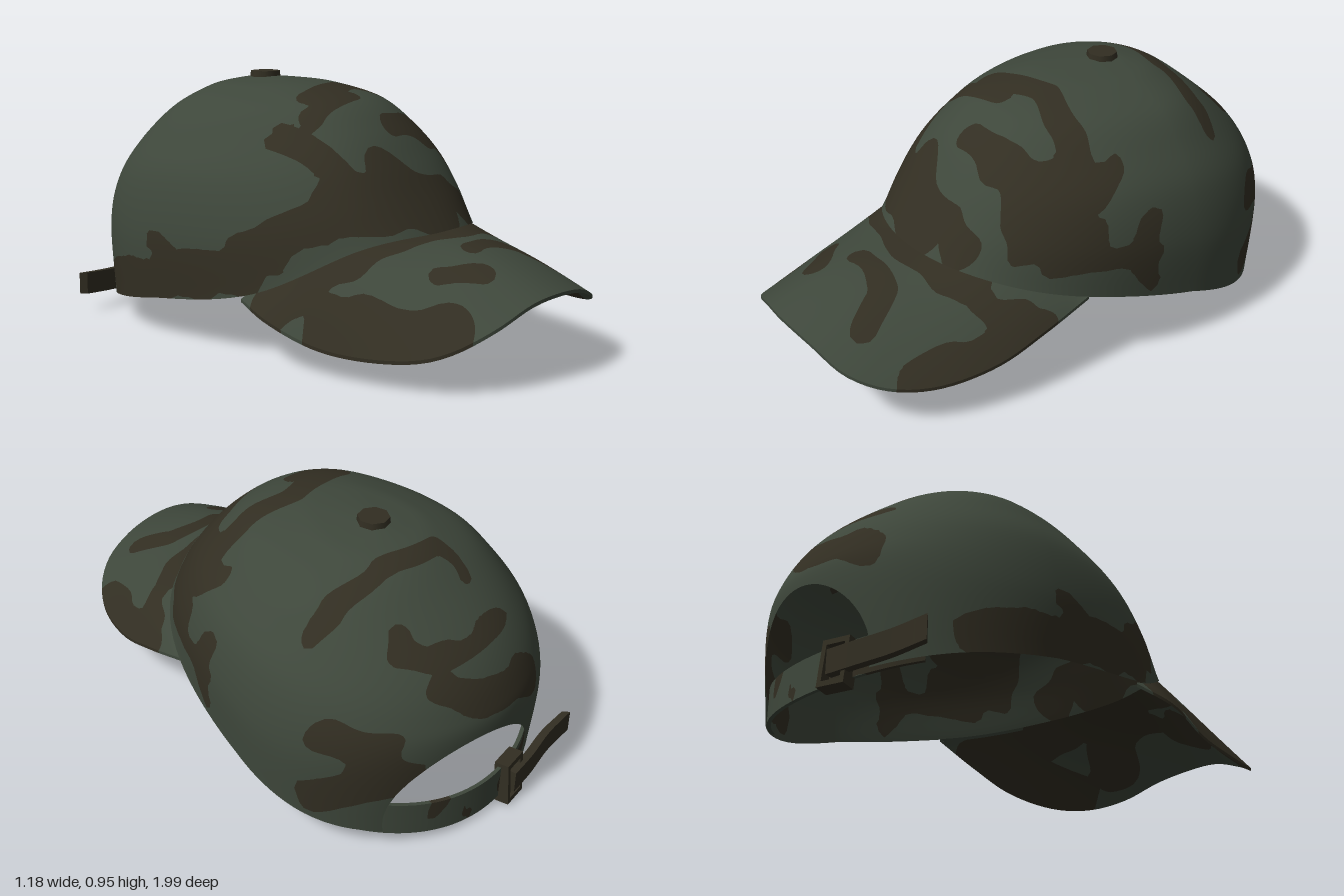
import * as THREE from 'three';
import { mergeGeometries, mergeVertices } from 'three/addons/utils/BufferGeometryUtils.js';

const mat = (name, color) => new THREE.MeshStandardMaterial({ name, color, side: THREE.DoubleSide });
const V = (x, y, z) => new THREE.Vector3(x, y, z);
const spline2 = (a) => new THREE.SplineCurve(a.map(([x, y]) => new THREE.Vector2(x, y)));

// Smooth surface over a grid of u, v in 0..1
function grid(nu, nv, fn) {
  const pos = [], idx = [], w = nv + 1;
  for (let i = 0; i <= nu; i++) for (let j = 0; j <= nv; j++) pos.push(...fn(i / nu, j / nv).toArray());
  for (let i = 0; i < nu; i++) for (let j = 0; j < nv; j++) {
    const a = i * w + j;
    idx.push(a, a + 1, a + w, a + 1, a + w + 1, a + w);
  }
  let g = new THREE.BufferGeometry();
  g.setAttribute('position', new THREE.Float32BufferAttribute(pos, 3));
  g.setIndex(idx);
  g = mergeVertices(g, 1e-5);
  g.computeVertexNormals();
  return g;
}

// Keeps the part of a polygon where f is positive
function clip(poly, f) {
  const out = [];
  poly.forEach((a, i) => {
    const b = poly[(i + 1) % poly.length], fa = f(a.p), fb = f(b.p);
    if (fa > 0) out.push(a);
    if ((fa > 0) !== (fb > 0)) {
      const k = fa / (fa - fb);
      out.push({ p: a.p.clone().lerp(b.p, k), n: a.n.clone().lerp(b.n, k).normalize() });
    }
  });
  return out;
}

// Splits a surface along the patch outlines into two material groups
function paint(name, geo, field, mats, keep) {
  const P = geo.attributes.position, N = geo.attributes.normal, ix = geo.index.array;
  const lists = [[], []];
  for (let i = 0; i < ix.length; i += 3) {
    let tri = [0, 1, 2].map((k) => ({
      p: new THREE.Vector3().fromBufferAttribute(P, ix[i + k]),
      n: new THREE.Vector3().fromBufferAttribute(N, ix[i + k]),
    }));
    if (keep) tri = clip(tri, keep);
    [field, (p) => -field(p)].forEach((f, m) => {
      const q = clip(tri, f);
      for (let k = 1; k + 1 < q.length; k++) lists[m].push(q[0], q[k], q[k + 1]);
    });
  }
  const all = [...lists[0], ...lists[1]], g = new THREE.BufferGeometry();
  g.setAttribute('position', new THREE.Float32BufferAttribute(all.flatMap((v) => v.p.toArray()), 3));
  g.setAttribute('normal', new THREE.Float32BufferAttribute(all.flatMap((v) => v.n.toArray()), 3));
  g.addGroup(0, lists[0].length, 0);
  g.addGroup(lists[0].length, lists[1].length, 1);
  const mesh = new THREE.Mesh(g, mats);
  mesh.name = name;
  return mesh;
}

// Charts in which patch strokes are laid out: [where it applies, to 2D]
const charts = {
  front: [(p) => p.z > 0, (p) => [p.x, p.y]],
  back: [(p) => p.z < -0.5, (p) => [p.x, p.y]],
  left: [(p) => p.x > 0.2, (p) => [p.z, p.y]],
  right: [(p) => p.x < -0.2, (p) => [p.z, p.y]],
  top: [(p) => p.y > 0.66, (p) => [p.x, p.z]],
  plan: [() => true, (p) => [p.x, p.z]],
};
// Positive inside any stroke: [chart, radius, x1, y1, x2, y2, ...]
const camo = (strokes, bias = 0) => (p) => {
  let best = -1;
  for (const [c, r, ...s] of strokes) {
    if (!charts[c][0](p)) continue;
    const [x, y] = charts[c][1](p);
    for (let i = 0; i + 3 < s.length; i += 2) {
      const dx = s[i + 2] - s[i], dy = s[i + 3] - s[i + 1];
      const k = THREE.MathUtils.clamp(((x - s[i]) * dx + (y - s[i + 1]) * dy) / (dx * dx + dy * dy), 0, 1);
      best = Math.max(best, r - Math.hypot(x - s[i] - k * dx, y - s[i + 1] - k * dy));
    }
  }
  return best + bias + 0.012 * Math.sin(23 * p.x + 9 * p.y) * Math.cos(19 * p.z + 14 * p.y)
    + 0.008 * Math.sin(41 * p.y - 17 * p.x + 29 * p.z);
};

const frontPatches = [
  ['front', 0.055, -0.38, 0.8, -0.3, 0.7, -0.27, 0.62],
  ['front', 0.1, -0.28, 0.54, -0.1, 0.55, 0.08, 0.5],
  ['front', 0.06, -0.12, 0.65, 0, 0.58, 0.15, 0.54, 0.25, 0.47],
  ['front', 0.05, -0.3, 0.54, -0.4, 0.48, -0.5, 0.4, -0.54, 0.3],
  ['front', 0.04, -0.5, 0.65, -0.46, 0.72, -0.38, 0.79],
  ['front', 0.045, 0.04, 0.78, 0.15, 0.77, 0.28, 0.72, 0.36, 0.62, 0.42, 0.5],
  ['front', 0.055, 0.36, 0.72, 0.44, 0.57, 0.49, 0.45],
];
const sidePatches = [
  ['left', 0.06, 0.2, 0.68, 0.1, 0.54],
  ['left', 0.03, 0.12, 0.6, 0, 0.64, -0.12, 0.73],
  ['left', 0.045, 0.14, 0.54, 0.02, 0.55, 0, 0.45, -0.18, 0.42],
  ['left', 0.045, -0.18, 0.55, -0.15, 0.45, -0.18, 0.32],
  ['left', 0.03, -0.56, 0.82, -0.57, 0.72],
  ['left', 0.07, -0.74, 0.46, -0.85, 0.42, -0.88, 0.3, -0.7, 0.2],
  ['right', 0.085, 0.05, 0.3, -0.2, 0.27, -0.45, 0.2, -0.65, 0.17],
  ['right', 0.05, -0.25, 0.3, -0.35, 0.36],
];
const backPatches = [
  ['back', 0.06, 0.12, 0.6, 0, 0.52, -0.18, 0.53, -0.26, 0.46],
  ['top', 0.05, -0.2, -0.83, 0, -0.88, 0.15, -0.85, 0.2, -0.78],
  ['top', 0.035, -0.15, -0.66, -0.12, -0.57, 0.1, -0.58, 0.37, -0.56],
  ['top', 0.055, -0.14, 0.01, 0.1, -0.04, 0.38, 0],
  ['top', 0.035, -0.22, 0.1, 0, 0.07],
];
const brimPatches = [
  ['plan', 0.09, -0.5, 0.2, -0.33, 0.36, -0.1, 0.46, 0.15, 0.48, 0.3, 0.42],
  ['plan', 0.045, 0.3, 0.44, 0.44, 0.4, 0.52, 0.25],
  ['plan', 0.085, -0.5, 0.42, -0.45, 0.65, -0.36, 0.82],
  ['plan', 0.04, -0.22, 0.68, -0.13, 0.79],
  ['plan', 0.045, -0.02, 0.66, 0.18, 0.67, 0.26, 0.8],
  ['plan', 0.06, 0.54, 0.3, 0.52, 0.5, 0.46, 0.74],
];
const strapPatches = [
  ['back', 0.02, 0.14, 0.15, 0.17, 0.1], ['back', 0.02, 0.02, 0.04, 0.05, 0.07],
  ['back', 0.06, -0.4, 0.12, -0.27, 0.09, -0.18, 0.085], ['back', 0.03, 0.34, 0.1, 0.42, 0.14],
];

// Crown: meridian profiles (reach, drop) for front, side and back
const profiles = [
  [[0, 0], [0.2, 0.01], [0.375, 0.04], [0.58, 0.14], [0.716, 0.32], [0.82, 0.54], [0.91, 0.77], [1, 1]],
  [[0, 0], [0.2, 0.015], [0.36, 0.04], [0.6, 0.12], [0.77, 0.26], [0.92, 0.44], [0.995, 0.7], [0.99, 1]],
  [[0, 0], [0.15, 0.01], [0.35, 0.05], [0.56, 0.155], [0.82, 0.315], [0.96, 0.47], [1, 0.62], [0.94, 1]],
].map(spline2);
const rimHeight = spline2([0.05, 0.06, 0.1, 0.15, 0.225, 0.4, 0.43, 0.41, 0.315, 0.2, 0.1, 0.06, 0.05].map((y, i) => [i, y]));
function crownPoint(t, v) {
  const c = Math.cos(t), w = c * c;
  const q = profiles[c > 0 ? 0 : 2].getPoint(v).multiplyScalar(w).addScaledVector(profiles[1].getPoint(v), 1 - w);
  const rim = rimHeight.getPoint((t + Math.PI) / (2 * Math.PI)).y;
  // slightly squarer plan towards the rim
  const r = q.x * (1 + (c > 0 ? 0.05 : 0.025) * Math.sin(2 * t) ** 2 * v * v);
  return V(0.59 * r * Math.sin(t), 0.93 - (0.93 - rim) * q.y, -0.38 + (c > 0 ? 0.88 : 0.61) * r * c);
}

// Flat band with a rectangular section along at(s), standing upright around the crown axis
function band(n, at, height, thick) {
  const corners = [[1, -1], [1, 1], [-1, 1], [-1, -1]];
  const corner = (k, s) => {
    const p = at(s), outward = V(p.x, 0, p.z + 0.38).normalize();
    const [o, h] = corners[k % 4];
    p.addScaledVector(outward, o * thick / 2).y += h * height / 2;
    return p;
  };
  const sides = corners.map((_, k) => grid(n, 4, (s, v) => corner(k, s).lerp(corner(k + 1, s), v)));
  const caps = [0, 1].map((s) => grid(1, 1, (u, v) => corner(u ? 3 - v : v, s)));
  return mergeGeometries([...sides, ...caps]);
}

export function createModel() {
  const green = mat('camouflage green', 0x3e473b), brown = mat('camouflage brown', 0x322e22);
  const mats = [brown, green], cap = new THREE.Group();
  cap.name = 'cap';
  const solid = (name, geo) => {
    const m = new THREE.Mesh(geo, brown);
    m.name = name;
    cap.add(m);
    return m;
  };

  // Crown with the arched opening cut out of its back
  const arch = (p) => (p.z > -0.5 ? 1 : Math.hypot((p.x - 0.025) / 0.31, (p.y - 0.12) / 0.29) - 1);
  cap.add(paint('crown', grid(112, 48, (u, v) => crownPoint((u * 2 - 1) * Math.PI, v)),
    camo([...frontPatches, ...sidePatches, ...backPatches]), mats, arch));

  // Brim, ruled from just inside the crown's front rim to a curved outer edge
  const edge = new THREE.CatmullRomCurve3([
    [-0.53, 0.21, 0.05], [-0.56, 0.17, 0.2], [-0.53, 0.11, 0.4], [-0.49, 0.1, 0.6], [-0.43, 0.12, 0.78],
    [-0.37, 0.155, 0.87], [-0.26, 0.22, 0.95], [-0.12, 0.28, 0.985], [0, 0.295, 0.995], [0.18, 0.275, 0.97],
    [0.33, 0.22, 0.92], [0.43, 0.18, 0.82], [0.5, 0.165, 0.67], [0.54, 0.19, 0.45], [0.54, 0.25, 0.25], [0.53, 0.315, 0.06],
  ].map((p) => V(...p)));
  const brim = (u, v, drop = 0) => {
    const p = crownPoint((u * 2 - 1) * 1.06, 1).multiply(V(0.985, 1, 0.985)).lerp(edge.getPointAt(u), v);
    p.y += 0.024 * Math.sin(Math.PI * v) * Math.sin(Math.PI * u) - drop;
    return p;
  };
  const thick = 0.012;
  cap.add(paint('brimTop', grid(72, 24, (u, v) => brim(u, v)), camo(brimPatches), mats));
  cap.add(paint('brimUnderside', grid(72, 24, (u, v) => brim(1 - u, v, thick)), camo(brimPatches, 0.05), mats));
  cap.add(paint('brimEdge', grid(72, 1, (u, v) => brim(u, 1, thick * v)), camo(brimPatches), mats));

  // Adjustment strap across the opening
  const strap = (s) => {
    const t = (s * 2 - 1) * 0.8;
    return V(0.575 * Math.sin(t), 0.085 + 0.095 * Math.sin(t) ** 2, -0.38 - 0.58 * Math.cos(t));
  };
  cap.add(paint('strap', band(40, strap, 0.128, 0.014), camo(strapPatches), mats));

  // Loose strap end
  const tail = new THREE.CatmullRomCurve3([V(-0.53, 0.11, -0.875), V(-0.4, 0.1, -0.9), V(-0.28, 0.09, -0.94), V(-0.17, 0.085, -0.97)]);
  solid('strapTail', band(16, (s) => tail.getPoint(s), 0.085, 0.03));

  // Buckle frame
  const rect = (S, w, h) => new S([[-w, -h], [w, -h], [w, h], [-w, h]].map((p) => new THREE.Vector2(...p)));
  const frame = rect(THREE.Shape, 0.052, 0.083);
  frame.holes.push(rect(THREE.Path, 0.036, 0.064));
  const buckle = solid('buckle', new THREE.ExtrudeGeometry(frame, { depth: 0.054, bevelEnabled: false }).translate(0, 0, -0.027));
  buckle.position.set(-0.182, 0.085, -0.944);
  buckle.rotation.set(0.1, 0.3, 0);

  // Button on the crown
  solid('button', new THREE.CylinderGeometry(0.056, 0.06, 0.04, 8)).position.set(0, 0.928, -0.38);
  return cap;
}
